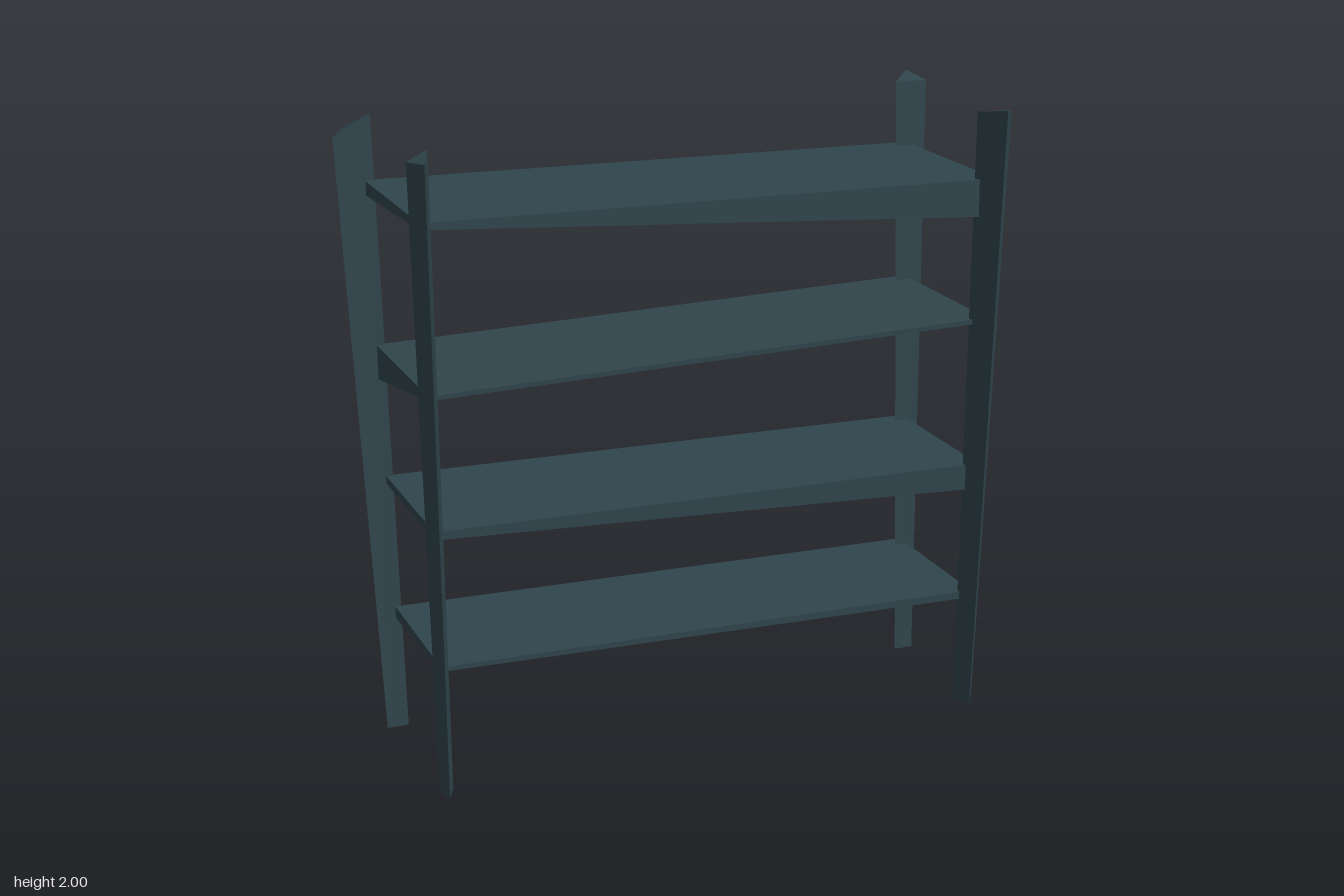
import * as THREE from 'three';

const material = new THREE.MeshStandardMaterial({ color: 0x2f454c, flatShading: true });

// Closed solid between two rings of [x, y, z], both counter-clockwise from above
function loft(name, bottom, top) {
  const n = bottom.length;
  const pos = [];
  const tri = (a, b, c) => pos.push(...a, ...b, ...c);
  for (let i = 0; i < n; i++) {
    const j = (i + 1) % n;
    tri(bottom[i], bottom[j], top[j]);
    tri(bottom[i], top[j], top[i]);
  }
  for (let i = 1; i < n - 1; i++) {
    tri(top[0], top[i], top[i + 1]);
    tri(bottom[0], bottom[i + 1], bottom[i]);
  }
  const geometry = new THREE.BufferGeometry();
  geometry.setAttribute('position', new THREE.Float32BufferAttribute(pos, 3));
  geometry.computeVertexNormals();
  const mesh = new THREE.Mesh(geometry, material);
  mesh.name = name;
  return mesh;
}

// Three-sided splayed posts: foot corners [x, z], slanted head corners [x, y, z]
const posts = [
  ['frontLeftPost', [[0.90, 0.24], [0.925, 0.305], [0.965, 0.245]],
    [[0.88, 1.98, 0.28], [0.92, 2, 0.395], [0.99, 1.98, 0.295]]],
  ['frontRightPost', [[-0.88, 0.245], [-0.865, 0.305], [-0.835, 0.24]],
    [[-0.925, 1.97, 0.285], [-0.90, 1.98, 0.385], [-0.86, 2, 0.28]]],
  ['backLeftPost', [[0.90, -0.185], [0.965, -0.185], [0.95, -0.24]],
    [[0.88, 1.98, -0.265], [0.99, 1.98, -0.265], [0.965, 2, -0.36]]],
  ['backRightPost', [[-0.91, -0.24], [-0.84, -0.24], [-0.875, -0.305]],
    [[-0.99, 1.935, -0.29], [-0.87, 2, -0.295], [-0.935, 1.94, -0.40]]],
];

// Uneven wedge shelves: top heights at the -x and +x ends, then the underside
// heights at corners (-x front, +x front, +x back, -x back)
const shelves = [
  [0.415, 0.385, [0.40, 0.36, 0.285, 0.375]],
  [0.855, 0.83, [0.83, 0.745, 0.79, 0.83]],
  [1.28, 1.32, [1.265, 1.305, 1.25, 1.17]],
  [1.795, 1.77, [1.775, 1.65, 1.635, 1.75]],
];

export function createModel() {
  const model = new THREE.Group();
  model.name = 'shelfUnit';

  for (const [name, foot, head] of posts) {
    model.add(loft(name, foot.map(([x, z]) => [x, 0, z]), head));
  }

  // Shelves grow with height to follow the splay of the posts
  shelves.forEach(([yA, yB, under], i) => {
    const t = (yA - 0.4) / 1.4;
    const x0 = -0.865 - 0.03 * t, x1 = 0.94 + 0.005 * t;
    const z0 = -0.25 - 0.055 * t, z1 = 0.255 + 0.04 * t;
    const corners = [[x0, z1], [x1, z1], [x1, z0], [x0, z0]];
    const heights = [yA, yB, yB, yA];
    model.add(loft(`shelf${i + 1}`,
      corners.map(([x, z], k) => [x, under[k], z]),
      corners.map(([x, z], k) => [x, heights[k], z])));
  });
  return model;
}
